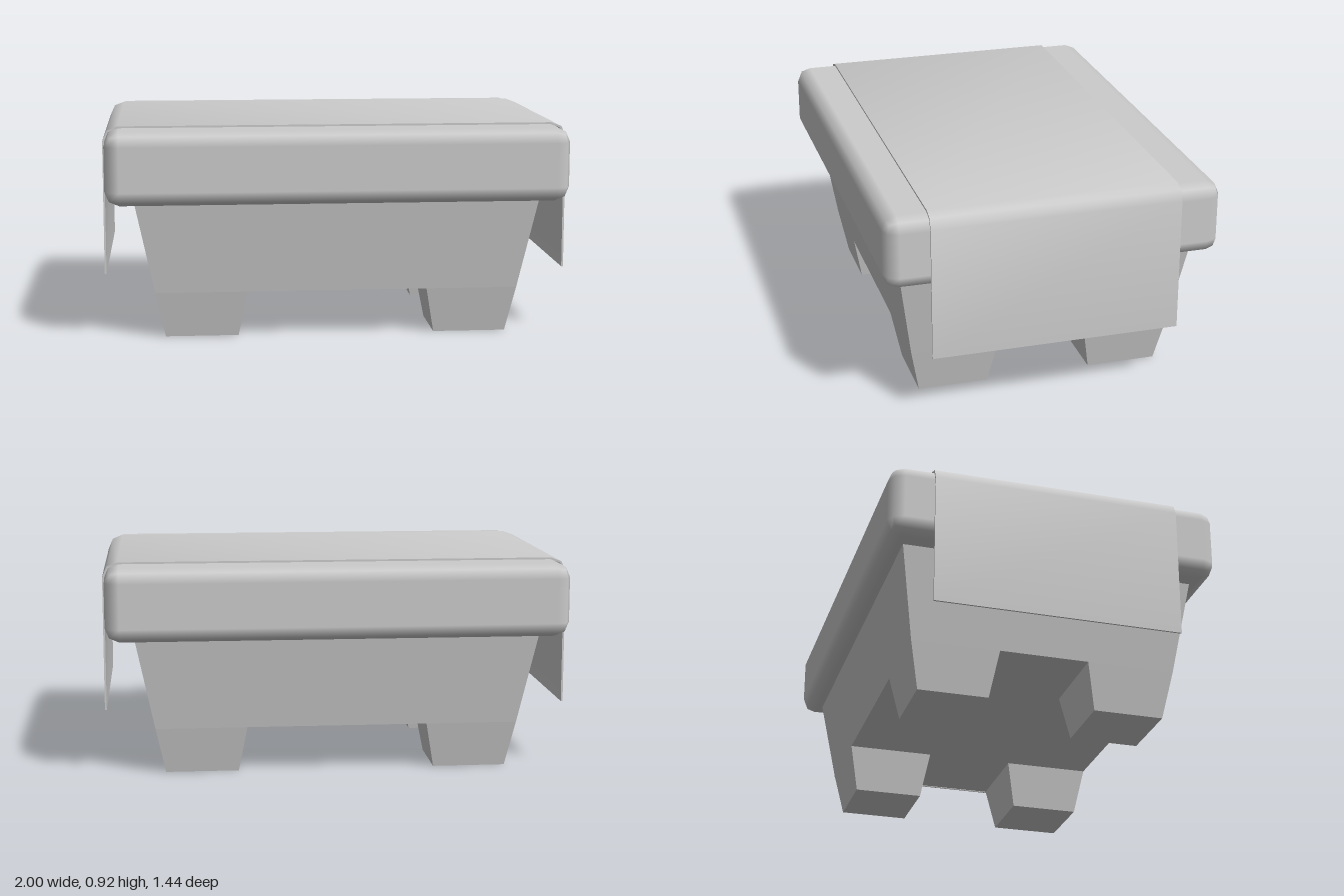
import * as THREE from 'three';
import { RoundedBoxGeometry } from 'three/addons/geometries/RoundedBoxGeometry.js';
import { toCreasedNormals } from 'three/addons/utils/BufferGeometryUtils.js';

const material = new THREE.MeshStandardMaterial({ color: 0xcccccc });

function part(name, geometry) {
  const mesh = new THREE.Mesh(geometry, material);
  mesh.name = name;
  return mesh;
}

// Box whose bottom and top rectangles [x0, x1, z0, z1] differ.
function taperedBox(y0, y1, bottom, top) {
  const geometry = new THREE.BoxGeometry(1, 1, 1);
  const p = geometry.attributes.position;
  for (let i = 0; i < p.count; i++) {
    const r = p.getY(i) > 0 ? top : bottom;
    p.setXYZ(i, p.getX(i) > 0 ? r[1] : r[0], p.getY(i) > 0 ? y1 : y0, p.getZ(i) > 0 ? r[3] : r[2]);
  }
  geometry.computeVertexNormals();
  return geometry;
}

// Rectangle mirrored into the chosen quadrant, keeping min/max order.
function quadrant(sx, sz, xIn, xOut, zIn, zOut) {
  const x = [sx * xIn, sx * xOut].sort((a, b) => a - b);
  const z = [sz * zIn, sz * zOut].sort((a, b) => a - b);
  return [...x, ...z];
}

export function createModel() {
  const model = new THREE.Group();
  model.name = 'ottoman';

  // Tapered base
  model.add(part('base', taperedBox(0.2, 0.6,
    [-0.785, 0.785, -0.573, 0.573], [-0.867, 0.867, -0.636, 0.636])));

  // Four splayed feet
  for (const sx of [-1, 1]) {
    for (const sz of [-1, 1]) {
      model.add(part('foot', taperedBox(0, 0.2,
        quadrant(sx, sz, 0.427, 0.742, 0.23, 0.533),
        quadrant(sx, sz, 0.39, 0.785, 0.193, 0.573))));
    }
  }

  // Cushion with a two-step rounded edge
  const cushion = part('cushion', new RoundedBoxGeometry(1.98, 0.315, 1.44, 1, 0.062));
  cushion.position.y = 0.751;
  model.add(cushion);

  // Thin cloth draped over the cushion and down both sides
  const outer = [[1, 0.28], [1, 0.855], [0.98, 0.9], [0.935, 0.917]];
  const inner = [[0.931, 0.909], [0.974, 0.893], [0.992, 0.852], [0.992, 0.28]];
  const mirrored = (points) => points.map(([x, y]) => [-x, y]).reverse();
  const outline = [...outer, ...mirrored(outer), ...mirrored(inner), ...inner];
  const cloth = new THREE.ExtrudeGeometry(
    new THREE.Shape(outline.map(([x, y]) => new THREE.Vector2(x, y))),
    { depth: 1.066, bevelEnabled: false });
  cloth.translate(0, 0, -0.533);
  model.add(part('drapedCloth', toCreasedNormals(cloth, 0.9)));

  return model;
}
